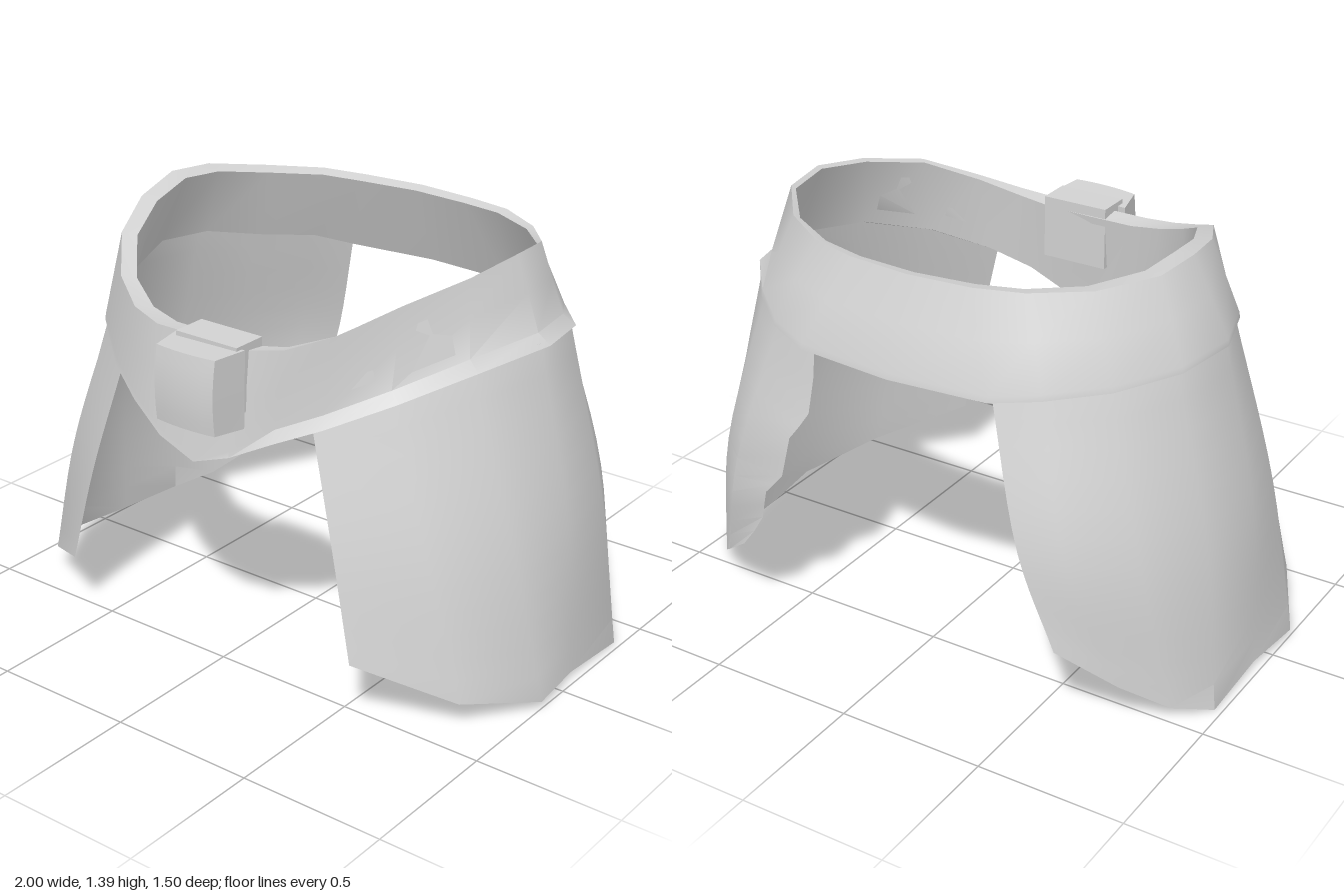
import * as THREE from 'three';
import { toCreasedNormals } from 'three/addons/utils/BufferGeometryUtils.js';

const V = (p) => new THREE.Vector3(...p);

// Skin a surface over a list of cross-sections (each an array of Vector3).
function skin(sections, closed, crease) {
  const n = sections[0].length, m = sections.length;
  const pos = sections.flat().flatMap((p) => [p.x, p.y, p.z]);
  const index = [];
  for (let i = 0; i < (closed ? m : m - 1); i++) {
    for (let j = 0; j < n - 1; j++) {
      const a = i * n + j, c = ((i + 1) % m) * n + j;
      index.push(a, a + 1, c, a + 1, c + 1, c);
    }
  }
  const g = new THREE.BufferGeometry();
  g.setAttribute('position', new THREE.Float32BufferAttribute(pos, 3));
  g.setIndex(index);
  return toCreasedNormals(g, crease);
}

// Half belt from front centre to back centre: top rim, bottom rim,
// then the inner scale on the left side and on the right side.
const belt = [
  [[0, 1.17, 0.57], [0, 0.77, 0.625], 0.88, 0.88],
  [[0.18, 1.17, 0.57], [0.14, 0.82, 0.62], 0.89, 0.88],
  [[0.3, 1.19, 0.54], [0.28, 0.89, 0.58], 0.92, 0.9],
  [[0.43, 1.24, 0.46], [0.42, 0.95, 0.51], 0.96, 0.92],
  [[0.56, 1.32, 0.31], [0.59, 1.03, 0.375], 0.98, 0.92],
  [[0.66, 1.37, 0.1], [0.74, 1.1, 0.16], 0.98, 0.91],
  [[0.7, 1.4, -0.1], [0.83, 1.13, -0.1], 0.98, 0.9],
  [[0.68, 1.39, -0.27], [0.79, 1.12, -0.32], 0.98, 0.9],
  [[0.55, 1.37, -0.43], [0.65, 1.09, -0.49], 0.97, 0.91],
  [[0.38, 1.365, -0.54], [0.49, 1.08, -0.63], 0.95, 0.92],
  [[0.22, 1.36, -0.58], [0.34, 1.06, -0.69], 0.94, 0.92],
  [[0, 1.36, -0.6], [0, 1.06, -0.72], 0.93, 0.93],
];

// Hip flap columns from front to back: top, middle, bottom.
const flap = [
  [[0.39, 0.94, 0.52], [0.495, 0.58, 0.56], [0.58, 0.23, 0.585]],
  [[0.57, 1.04, 0.37], [0.74, 0.55, 0.4], [0.86, 0.1, 0.39]],
  [[0.72, 1.11, 0.16], [0.89, 0.55, 0.16], [1.0, 0.035, 0.13]],
  [[0.81, 1.14, -0.08], [0.94, 0.55, -0.08], [0.975, 0.03, -0.09]],
  [[0.77, 1.13, -0.32], [0.91, 0.55, -0.34], [0.975, 0.01, -0.37]],
  [[0.64, 1.1, -0.48], [0.79, 0.55, -0.54], [0.88, 0.055, -0.49]],
  [[0.48, 1.1, -0.61], [0.62, 0.6, -0.7], [0.76, 0.16, -0.61]],
];
// Rear edges: ragged on the left, smooth on the right
const leftRear = [[0.3, 1.1, -0.67], [0.3, 0.86, -0.72], [0.37, 0.76, -0.735],
  [0.4, 0.62, -0.745], [0.47, 0.54, -0.745], [0.49, 0.44, -0.745], [0.59, 0.3, -0.73]];
const rightRear = [[0.34, 1.1, -0.67], [0.48, 0.62, -0.745], [0.6, 0.3, -0.73]];

// Closed belt cross-section; the left side has a projecting bottom lip.
function beltSection([top, bottom, leftInner, rightInner], side) {
  const flip = (p) => V([p[0] * side, p[1], p[2]]);
  const t = flip(top), b = flip(bottom);
  const inset = (p, s, dy) => new THREE.Vector3(p.x * s, p.y + dy, p.z * s);
  const inner = side > 0 ? leftInner : rightInner;
  const lip = side > 0 && b.x > 0.25 && b.z > -0.4;
  const wall = lip ? inset(b, 0.95, 0.035) : inset(b, 0.995, 0.02);
  const mid = t.clone().lerp(wall, 0.5);
  return [t, mid, wall, b, inset(b, Math.min(inner, 0.95), 0.01), inset(t, inner, -0.01), t.clone()];
}

export function createModel() {
  const model = new THREE.Group();
  const grey = new THREE.MeshStandardMaterial({ color: 0xd2d2d2, side: THREE.DoubleSide });
  grey.name = 'light grey';
  const add = (name, geometry) => {
    const mesh = new THREE.Mesh(geometry, grey);
    mesh.name = name;
    model.add(mesh);
    return mesh;
  };

  // Belt: both halves joined into a ring
  const ring = belt.map((s) => beltSection(s, 1));
  for (let i = belt.length - 2; i > 0; i--) ring.push(beltSection(belt[i], -1));
  add('belt', skin(ring, true, 0.6));

  // Hip flaps, flaring out and curved down their length
  for (const side of [1, -1]) {
    const columns = [...flap, side > 0 ? leftRear : rightRear].map((col) =>
      new THREE.CatmullRomCurve3(col.map(([x, y, z]) => V([x * side, y, z]))).getPoints(12));
    if (side < 0) columns.reverse();
    add(side > 0 ? 'leftFlap' : 'rightFlap', skin(columns, false, 0.6));
  }

  // Buckle: a pillowed block that narrows towards its front face
  const block = new THREE.BoxGeometry(0.28, 0.25, 0.13, 6, 6, 2);
  const p = block.attributes.position;
  for (let i = 0; i < p.count; i++) {
    const x = p.getX(i), y = p.getY(i), z = p.getZ(i);
    const u = x / 0.14, v = y / 0.125, f = (z + 0.065) / 0.13;
    p.setX(i, x * (1 - 0.16 * f) + 0.012 * f);
    p.setY(i, y * (1 - 0.04 * f));
    p.setZ(i, z + f * (0.012 - 0.01 * (u * u + v * v)));
  }
  const buckle = add('buckle', toCreasedNormals(block, 0.7));
  buckle.position.set(0.058, 1.06, 0.67);
  buckle.rotation.set(-0.06, -0.03, 0.02);

  // Loop wrapping the buckle over the belt
  const loop = add('buckleLoop', new THREE.BoxGeometry(0.24, 0.22, 0.12));
  loop.position.set(0.065, 1.085, 0.565);

  return model;
}
